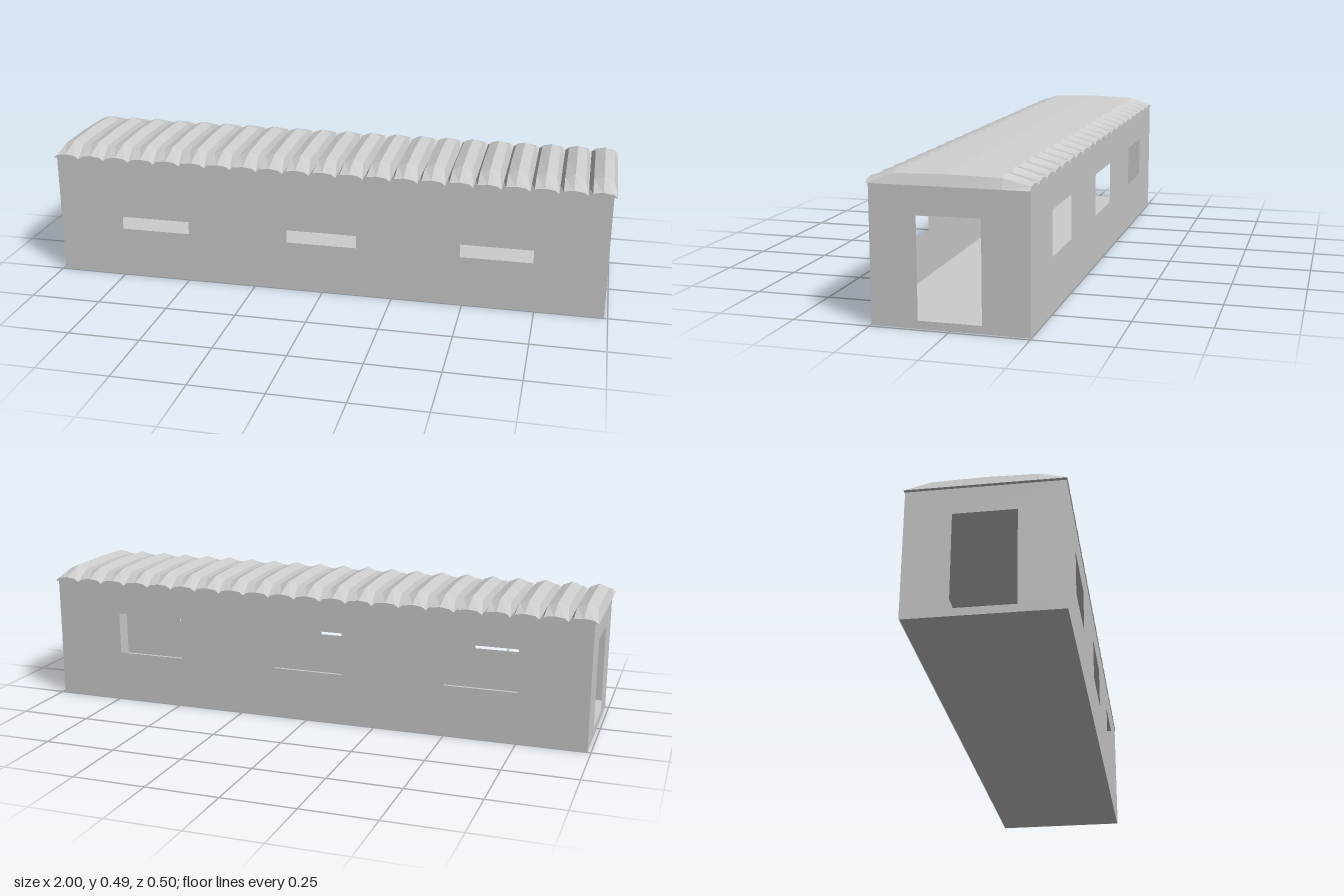
import * as THREE from 'three';

const HALF_X = 0.988, HALF_Z = 0.248, EAVES = 0.437, FLOOR = 0.025;

const material = new THREE.MeshStandardMaterial({
  color: 0xcccccc, flatShading: true, side: THREE.DoubleSide,
});

function rectangle(Type, x0, y0, x1, y1) {
  const path = new Type();
  path.moveTo(x0, y0);
  path.lineTo(x1, y0);
  path.lineTo(x1, y1);
  path.lineTo(x0, y1);
  path.closePath();
  return path;
}

function part(name, geometry) {
  const mesh = new THREE.Mesh(geometry, material);
  mesh.name = name;
  return mesh;
}

// Thin wall standing on the ground, with rectangular openings [x0, y0, x1, y1]
function wall(name, halfWidth, openings) {
  const shape = rectangle(THREE.Shape, -halfWidth, 0, halfWidth, EAVES);
  for (const o of openings) shape.holes.push(rectangle(THREE.Path, ...o));
  return part(name, new THREE.ShapeGeometry(shape));
}

// One arched roof rib: a four-sided half round whose height tapers to the eaves
function ribGeometry(halfWidth) {
  const stations = [[-0.25, 0.015], [-0.165, 0.044], [0, 0.049], [0.165, 0.044], [0.25, 0.015]];
  const sides = 4;
  const rings = stations.map(([z, height]) => Array.from({ length: sides + 1 }, (_, i) => {
    const a = Math.PI * (1 - i / sides);
    return [Math.cos(a) * halfWidth, Math.sin(a) * height, z];
  }));
  const positions = [];
  const triangle = (...corners) => corners.forEach((c) => positions.push(...c));
  for (let j = 0; j < rings.length - 1; j++) {
    for (let i = 0; i < sides; i++) {
      const a = rings[j][i], b = rings[j + 1][i], c = rings[j + 1][i + 1], d = rings[j][i + 1];
      triangle(a, b, c);
      triangle(a, c, d);
    }
  }
  // End caps
  const back = rings[0], front = rings[rings.length - 1];
  for (let i = 1; i < sides; i++) {
    triangle(front[0], front[i + 1], front[i]);
    triangle(back[0], back[i], back[i + 1]);
  }
  const geometry = new THREE.BufferGeometry();
  geometry.setAttribute('position', new THREE.Float32BufferAttribute(positions, 3));
  geometry.computeVertexNormals();
  return geometry;
}

export function createModel() {
  const model = new THREE.Group();
  model.name = 'longHut';

  // Long walls with three windows each
  const windows = [-0.622, -0.004, 0.613].map((x) => [x - 0.126, 0.18, x + 0.126, 0.33]);
  for (const [name, z] of [['frontWall', HALF_Z], ['backWall', -HALF_Z]]) {
    const side = wall(name, HALF_X, windows);
    side.position.z = z;
    model.add(side);
  }

  // End walls with a doorway each
  for (const [name, s] of [['leftEndWall', 1], ['rightEndWall', -1]]) {
    const end = wall(name, HALF_Z, [[-0.1, FLOOR, 0.1, 0.347]]);
    end.rotation.y = s * Math.PI / 2;
    end.position.x = s * HALF_X;
    model.add(end);
  }

  // Floor slab, just inside the walls
  const floor = part('floor', new THREE.BoxGeometry(2 * HALF_X - 0.004, FLOOR, 2 * HALF_Z - 0.004));
  floor.position.y = FLOOR / 2;
  model.add(floor);

  // Flat ceiling under the roof
  const ceiling = part('ceiling', new THREE.PlaneGeometry(2, 0.5));
  ceiling.rotation.x = Math.PI / 2;
  ceiling.position.y = EAVES;
  model.add(ceiling);

  // Row of arched ribs forming the roof
  const roof = new THREE.Group();
  roof.name = 'roof';
  const count = 21, pitch = 2 / count;
  const geometry = ribGeometry(pitch / 2);
  for (let i = 0; i < count; i++) {
    const rib = part('roofRib', geometry);
    rib.position.set((i + 0.5) * pitch - 1, EAVES, 0);
    roof.add(rib);
  }
  model.add(roof);

  return model;
}
